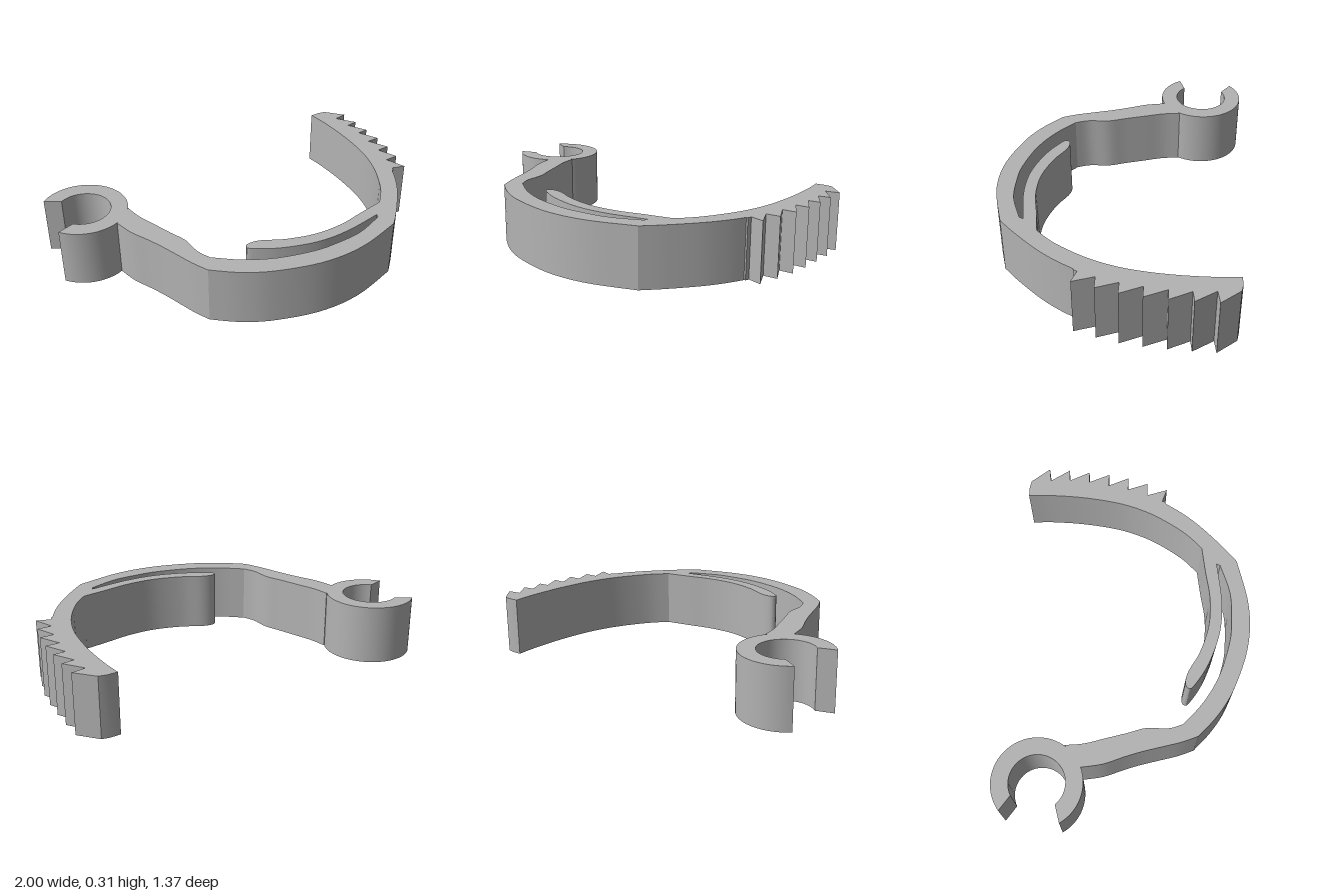
import * as THREE from 'three';
import { toCreasedNormals } from 'three/addons/utils/BufferGeometryUtils.js';

const HEIGHT = 0.315;

// Smooth run of [x, z] points
function curve(points, samples = 24) {
  return new THREE.SplineCurve(points.map(([x, z]) => new THREE.Vector2(x, z)))
    .getPoints(samples).map((p) => [p.x, p.y]);
}

// Plan outline in [x, z], raised to the common height
function slab(name, outline, material) {
  const shape = new THREE.Shape(outline.map(([x, z]) => new THREE.Vector2(x, z)));
  const geometry = new THREE.ExtrudeGeometry(shape, { depth: HEIGHT, bevelEnabled: false });
  geometry.rotateX(Math.PI / 2).translate(0, HEIGHT, 0);
  const mesh = new THREE.Mesh(toCreasedNormals(geometry, 0.4), material);
  mesh.name = name;
  return mesh;
}

function arc(cx, cz, r, from, to, n) {
  return Array.from({ length: n + 1 }, (_, i) => {
    const a = from + (to - from) * i / n;
    return [cx + r * Math.cos(a), cz + r * Math.sin(a)];
  });
}

export function createModel() {
  const grey = new THREE.MeshStandardMaterial({ color: 0xb3b3b3 });
  grey.name = 'grey plastic';
  const group = new THREE.Group();
  group.name = 'ratchetClamp';

  // Open ring that snaps round a rod
  const outerA = Math.PI - 0.725, innerA = Math.PI - 0.91;
  group.add(slab('hingeRing', [
    ...arc(-0.825, -0.255, 0.235, -outerA, outerA, 48),
    ...arc(-0.825, -0.255, 0.145, innerA, -innerA, 40),
  ], grey));

  // Ratchet tooth roots and tips, back to front
  const roots = [[0.868, -0.685], [0.893, -0.578], [0.917, -0.47], [0.928, -0.36],
    [0.928, -0.247], [0.925, -0.133], [0.91, -0.018], [0.89, 0.073]];
  const tips = [[0.965, -0.6], [0.98, -0.487], [0.99, -0.372], [0.998, -0.257],
    [0.998, -0.144], [0.984, -0.03], [0.965, 0.085]];

  // Main band: outer side from ring to teeth, then back along the inner side
  const tongueRoot = [0.638, 0.343], slotEnd = [0.563, 0.438];
  group.add(slab('band', [
    ...curve([[-0.703, -0.053], [-0.665, 0.053], [-0.61, 0.147], [-0.565, 0.23],
      [-0.52, 0.325], [-0.473, 0.425], [-0.425, 0.505]]),
    ...curve([[-0.425, 0.505], [-0.29, 0.588], [-0.13, 0.647], [0.115, 0.682],
      [0.35, 0.65], [0.6, 0.545]]).slice(1),
    ...curve([[0.6, 0.545], [0.68, 0.445], [0.78, 0.3], [0.84, 0.187], [0.877, 0.095]]).slice(1),
    [0.885, 0.093],
    ...roots.slice().reverse(),
    [0.825, -0.687],
    ...curve([[0.773, -0.678], [0.797, -0.57], [0.82, -0.4], [0.828, -0.24], [0.822, -0.107],
      [0.795, 0.03], [0.75, 0.155], [0.7, 0.257], tongueRoot]),
    slotEnd,
    ...curve([[0.555, 0.46], [0.4, 0.54], [0.24, 0.573], [0.115, 0.582], [-0.077, 0.558],
      [-0.24, 0.5], [-0.377, 0.417]]),
    ...curve([[-0.377, 0.417], [-0.415, 0.345], [-0.435, 0.235], [-0.48, 0.145],
      [-0.53, 0.04], [-0.58, -0.065], [-0.607, -0.16]]).slice(1),
  ], grey));

  // Teeth along the end of the band
  tips.forEach((tip, i) => group.add(slab('ratchetTooth' + (i + 1), [roots[i], tip, roots[i + 1]], grey)));

  // Springy inner tongue with a rounded free end
  group.add(slab('springTongue', [
    ...curve([tongueRoot, [0.5, 0.387], [0.35, 0.437], [0.19, 0.457], [0.03, 0.435],
      [-0.09, 0.393], [-0.155, 0.39], [-0.18, 0.41], [-0.16, 0.437], [-0.025, 0.492],
      [0.165, 0.522], [0.35, 0.502], slotEnd], 60),
  ], grey));

  return group;
}
